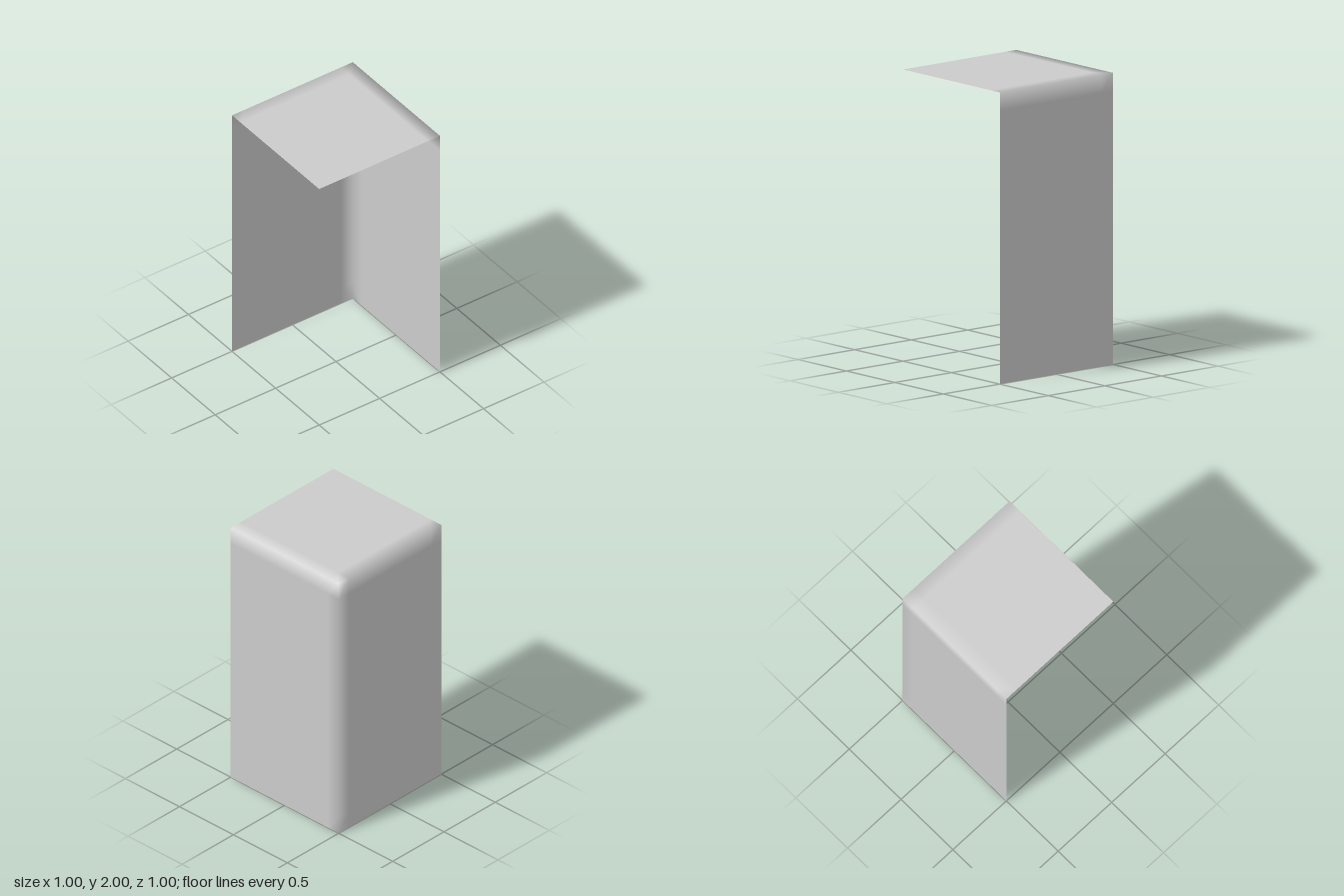
import * as THREE from 'three';
import { mergeGeometries, mergeVertices } from 'three/addons/utils/BufferGeometryUtils.js';

const WIDTH = 1, DEPTH = 1, HEIGHT = 2;
const STEPS = 10, HEIGHT_STEPS = 16;

// One flat gridded sheet, turned by (rx, ry) and moved into place
function sheet(w, h, wSteps, hSteps, rx, ry, position) {
  const g = new THREE.PlaneGeometry(w, h, wSteps, hSteps);
  g.rotateX(rx).rotateY(ry).translate(...position);
  g.deleteAttribute('uv');
  g.deleteAttribute('normal');
  return g;
}

export function createModel() {
  const model = new THREE.Group();
  model.name = 'openCorner';

  const panels = [
    // top panel, facing up
    sheet(WIDTH, DEPTH, STEPS, STEPS, -Math.PI / 2, 0, [0, HEIGHT, 0]),
    // back panel, facing -z
    sheet(WIDTH, HEIGHT, STEPS, HEIGHT_STEPS, 0, Math.PI, [0, HEIGHT / 2, -DEPTH / 2]),
    // left panel, facing +x
    sheet(DEPTH, HEIGHT, STEPS, HEIGHT_STEPS, 0, Math.PI / 2, [WIDTH / 2, HEIGHT / 2, 0]),
  ];

  // Weld the shared edges so the shading rolls softly around the corners
  const shell = mergeVertices(mergeGeometries(panels));
  shell.computeVertexNormals();

  const mesh = new THREE.Mesh(
    shell,
    new THREE.MeshStandardMaterial({ color: 0xcccccc, side: THREE.DoubleSide })
  );
  mesh.name = 'topBackAndLeftPanels';
  model.add(mesh);
  return model;
}
